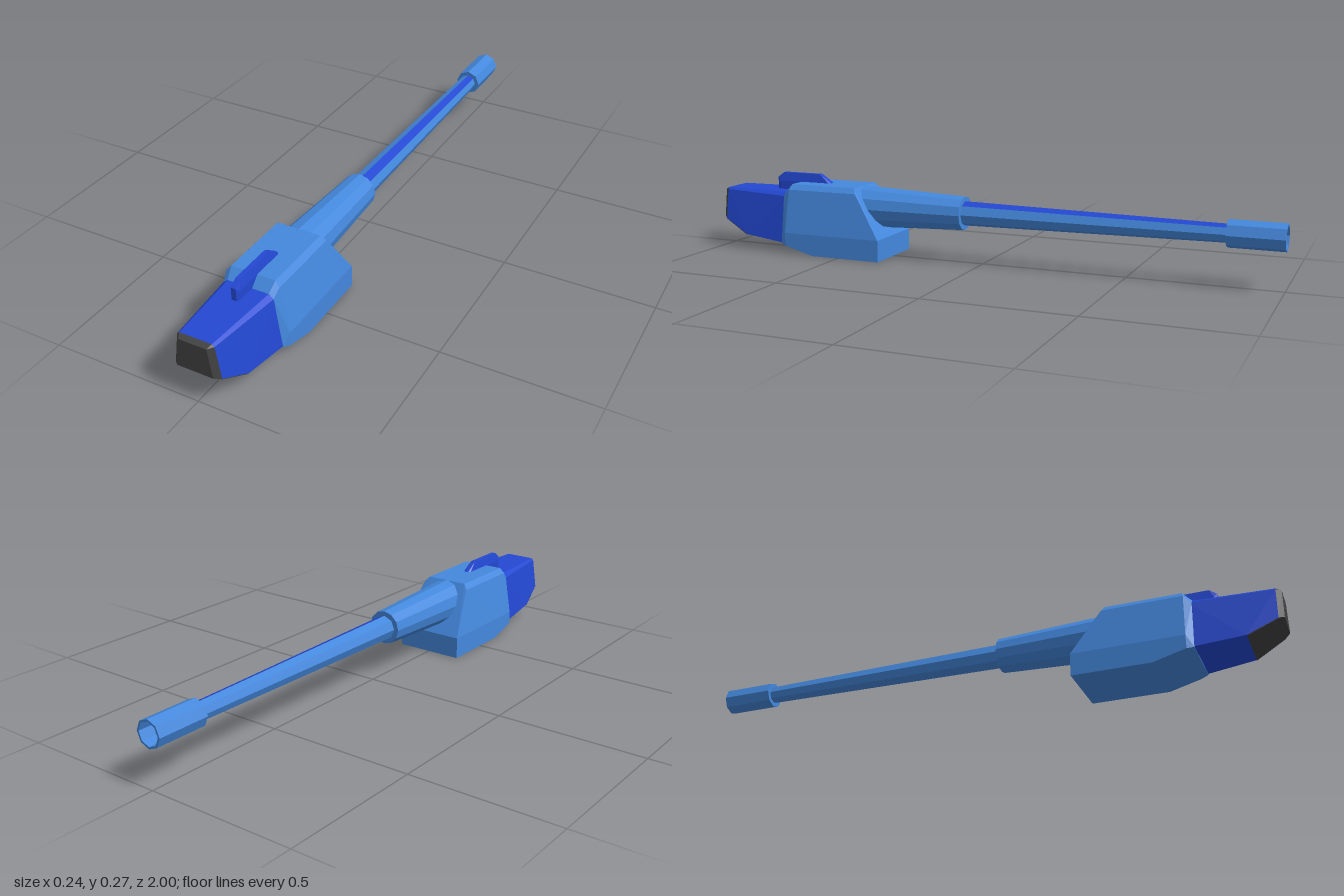
import * as THREE from 'three';
import { ConvexGeometry } from 'three/addons/geometries/ConvexGeometry.js';

const AXIS_Y = 0.17;

function material(color) {
  return new THREE.MeshStandardMaterial({ color, flatShading: true, side: THREE.DoubleSide });
}

export function createModel() {
  const model = new THREE.Group();
  const blue = material(0x4488dd);
  const deepBlue = material(0x2348d2);
  const charcoal = material(0x424242);

  function add(name, geometry, mat) {
    const mesh = new THREE.Mesh(geometry, mat);
    mesh.name = name;
    model.add(mesh);
    return mesh;
  }

  // Convex solid from [half width, y, z] corners mirrored across x
  function hull(name, corners, mat) {
    const points = corners.flatMap(([x, y, z]) => [
      new THREE.Vector3(x, y, z), new THREE.Vector3(-x, y, z),
    ]);
    return add(name, new ConvexGeometry(points), mat);
  }

  // Turned part along z from [radius, z] pairs
  function turned(name, profile, mat, sides = 8, start = 0, sweep = Math.PI * 2) {
    const points = profile.map(([r, z]) => new THREE.Vector2(r, z));
    const geometry = new THREE.LatheGeometry(points, sides, start, sweep);
    geometry.rotateX(Math.PI / 2);
    return add(name, geometry, mat).position.setY(AXIS_Y);
  }

  // Housing: tapered sides, sloped back, bevelled front rim
  hull('housing', [
    [0.12, 0, 0.34], [0.12, 0.075, 0.34], [0.09, 0.225, 0.44], [0.075, 0.243, 0.45],
    [0.12, 0, 0.6], [0.12, 0.029, 0.708], [0.12, 0.075, 0.708],
    [0.09, 0.225, 0.705], [0.075, 0.243, 0.7],
    [0.109, 0.034, 0.73], [0.085, 0.2, 0.73], [0.07, 0.213, 0.73],
  ], blue);

  // Nose with chamfered underside
  hull('nose', [
    [0.109, 0.036, 0.72], [0.086, 0.2, 0.72], [0.07, 0.213, 0.72],
    [0.095, 0.052, 0.885],
    [0.077, 0.101, 0.983], [0.061, 0.206, 0.983], [0.053, 0.213, 0.983],
  ], deepBlue);

  // Dark plate below the nose
  hull('chinPlate', [
    [0.094, 0.052, 0.887], [0.094, 0.05, 0.887],
    [0.076, 0.102, 0.983], [0.076, 0.1, 0.985],
  ], charcoal);

  // Bevelled cap on the nose tip
  hull('noseCap', [
    [0.077, 0.101, 0.983], [0.061, 0.206, 0.983], [0.053, 0.213, 0.983],
    [0.06, 0.108, 1], [0.046, 0.205, 1],
  ], charcoal);

  // Sight fin on top
  hull('sightFin', [
    [0.014, 0.21, 0.79], [0.014, 0.243, 0.79], [0.008, 0.21, 0.8], [0.008, 0.255, 0.8],
    [0.008, 0.273, 0.775], [0.008, 0.273, 0.625],
    [0.014, 0.243, 0.59], [0.014, 0.21, 0.59], [0.008, 0.243, 0.58],
  ], deepBlue);

  // Sleeve where the barrel leaves the housing
  turned('barrelSleeve', [[0, 0.065], [0.058, 0.065], [0.074, 0.46], [0, 0.46]], blue, 12);

  // Octagonal barrel, one facet picked out as a stripe
  const barrel = [[0.03, -0.83], [0.042, 0.08]];
  turned('barrel', barrel, blue, 7, Math.PI, Math.PI * 1.75);
  turned('barrelStripe', barrel, deepBlue, 1, Math.PI * 0.75, Math.PI * 0.25);

  // Hollow muzzle
  turned('muzzle', [
    [0, -0.85], [0.038, -0.85], [0.038, -1], [0.045, -1], [0.045, -0.82], [0, -0.82],
  ], blue);

  return model;
}
